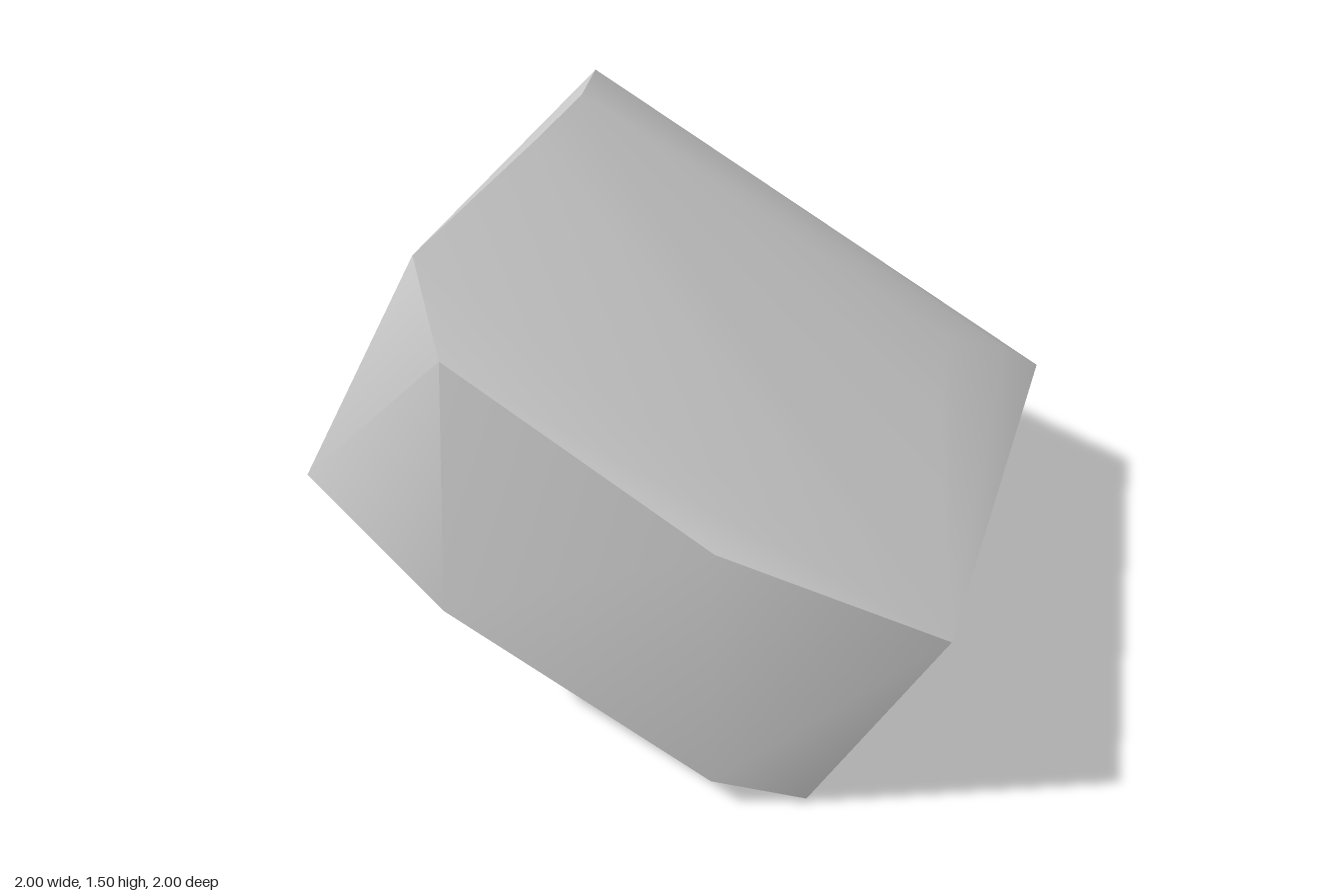
import * as THREE from 'three';
import { ConvexGeometry } from 'three/addons/geometries/ConvexGeometry.js';
import { toCreasedNormals } from 'three/addons/utils/BufferGeometryUtils.js';

// Corner points of the boulder, grouped by the rim they belong to
const rims = {
  upperLeftRidge: [
    [-0.66, 1.5, 0.68], [-0.665, 1.498, -0.12], [-0.69, 1.48, -0.5],
    [-0.79, 1.42, -0.82], [-0.86, 1.32, -0.97], [-0.95, 1.1, -1],
  ],
  lowerLeftRim: [
    [-1, 0.76, 0.83], [-0.99, 0.757, 0.07], [-0.985, 0.775, -0.29],
    [-0.975, 0.81, -0.54], [-0.955, 0.86, -0.8], [-0.965, 0.98, -0.99],
  ],
  frontFace: [
    [-0.44, 1.36, 0.955], [0.38, 0.97, 1], [1, 0.73, 0.83],
    [0.6, 0.015, 0.83], [0.35, 0.11, 0.96], [-0.5, 0.48, 0.95],
  ],
  underside: [
    [0.64, 0.002, 0.55], [0.66, 0, 0.1], [0.44, 0.14, -0.6],
    [0.45, 0.25, -0.88], [0.63, 0.33, -0.99],
    [-0.2, 0.34, 0.4], [0.2, 0.167, 0.4],
  ],
  upperRightShoulder: [
    [0.78, 0.51, -0.98], [0.69, 0.65, -0.83], [0.57, 0.8, -0.57], [0.68, 0.8, -0.1],
  ],
};

export function createModel() {
  const group = new THREE.Group();
  group.name = 'boulder';

  const stone = new THREE.MeshStandardMaterial({ color: 0xc9c9c9 });
  stone.name = 'pale grey stone';

  // Wrap the rims in one solid; soft facets with sharp main edges
  const points = Object.values(rims).flat().map((p) => new THREE.Vector3(...p));
  const geometry = toCreasedNormals(new ConvexGeometry(points), THREE.MathUtils.degToRad(40));

  const rock = new THREE.Mesh(geometry, stone);
  rock.name = 'rock';
  group.add(rock);
  return group;
}
